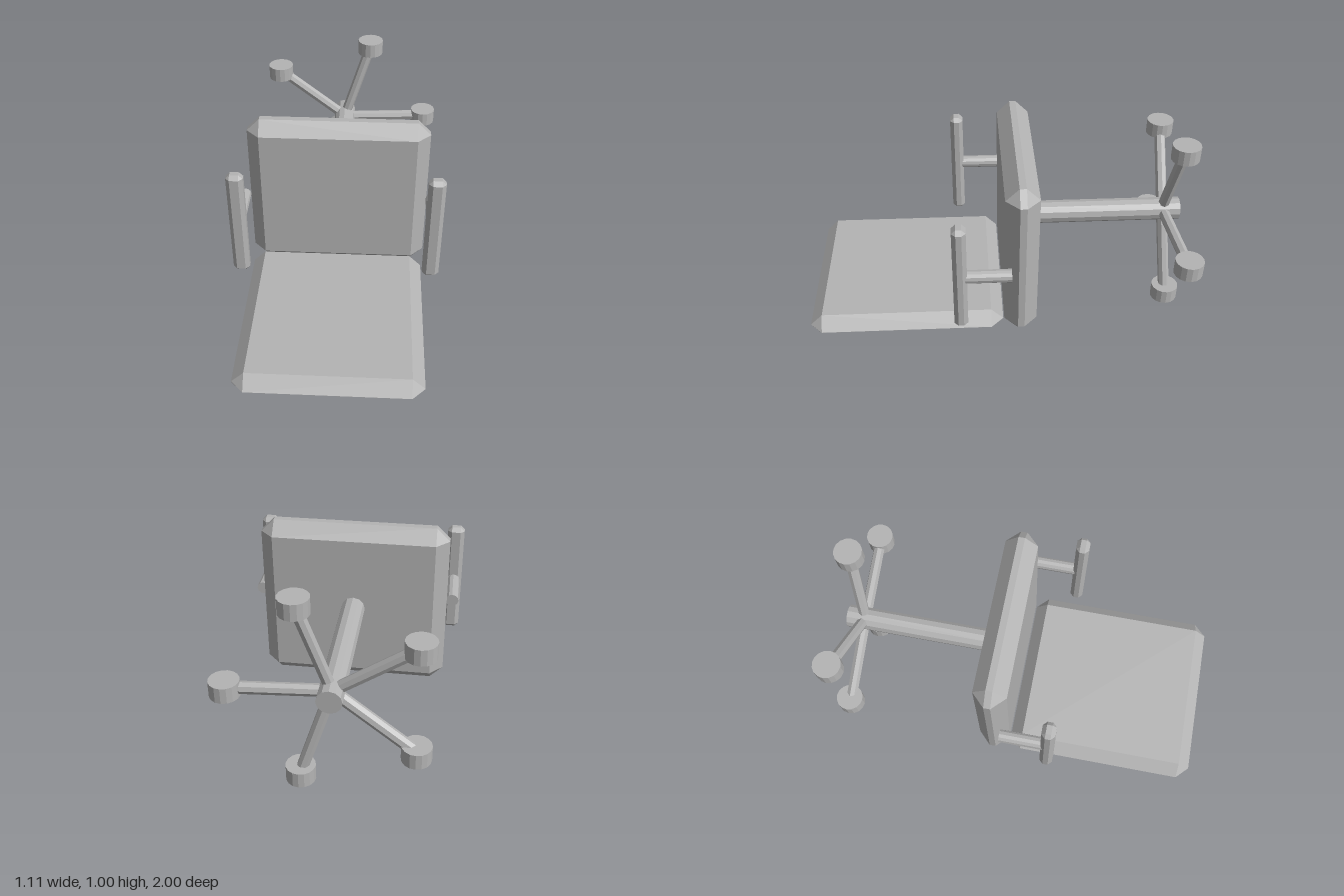
import * as THREE from 'three';
import { ConvexGeometry } from 'three/addons/geometries/ConvexGeometry.js';

const grey = new THREE.MeshStandardMaterial({ color: 0xb4b4b4, flatShading: true });
grey.name = 'plain grey';

// Box with every edge and corner cut flat by the bevel b
function bevelledBox(w, h, d, b) {
  const half = [w / 2, h / 2, d / 2];
  const points = [];
  for (const sx of [-1, 1]) for (const sy of [-1, 1]) for (const sz of [-1, 1]) {
    const sign = [sx, sy, sz];
    for (let axis = 0; axis < 3; axis++) {
      points.push(new THREE.Vector3(...half.map((s, i) => sign[i] * (i === axis ? s : s - b))));
    }
  }
  return new ConvexGeometry(points);
}

// Cylinder running from point a to point b
function rod(a, b, radius, sides) {
  const axis = b.clone().sub(a);
  const geometry = new THREE.CylinderGeometry(radius, radius, axis.length(), sides);
  geometry.applyQuaternion(new THREE.Quaternion().setFromUnitVectors(
    new THREE.Vector3(0, 1, 0), axis.clone().normalize()));
  const mid = a.clone().add(b).multiplyScalar(0.5);
  return geometry.translate(mid.x, mid.y, mid.z);
}

export function createModel() {
  const model = new THREE.Group();
  model.name = 'tippedOfficeChair';
  const add = (name, geometry, x = 0, y = 0, z = 0) => {
    const mesh = new THREE.Mesh(geometry, grey);
    mesh.name = name;
    mesh.position.set(x, y, z);
    model.add(mesh);
  };
  const v = (x, y, z) => new THREE.Vector3(x, y, z);

  // Cushions: the chair lies on its back
  add('seat', bevelledBox(0.96, 0.9, 0.17, 0.068), 0, 0.5, -0.1);
  add('backrest', bevelledBox(0.93, 0.128, 1.01, 0.0635), 0, 0.107, 0.495);

  // Armrests on short posts
  for (const [side, s] of [['left', 1], ['right', -1]]) {
    add(side + 'Armrest', bevelledBox(0.088, 0.62, 0.07, 0.021), s * 0.507, 0.5, 0.21);
    add(side + 'ArmPost', rod(v(s * 0.507, 0.5, -0.045), v(s * 0.507, 0.5, 0.2), 0.034, 12));
  }

  // Column and five-legged base with casters
  add('column', rod(v(0, 0.5, -0.15), v(0, 0.5, -0.98), 0.061, 12));
  for (let i = 0; i < 5; i++) {
    const angle = i * Math.PI * 2 / 5;
    const c = Math.cos(angle), s = Math.sin(angle);
    add('leg' + (i + 1), rod(v(0.02 * c, 0.5 + 0.02 * s, -0.893), v(0.46 * c, 0.5 + 0.46 * s, -0.925), 0.03, 8));
    add('caster' + (i + 1), new THREE.CylinderGeometry(0.072, 0.072, 0.08, 16),
      0.483 * c, 0.5 + 0.483 * s, -0.928);
  }
  return model;
}
